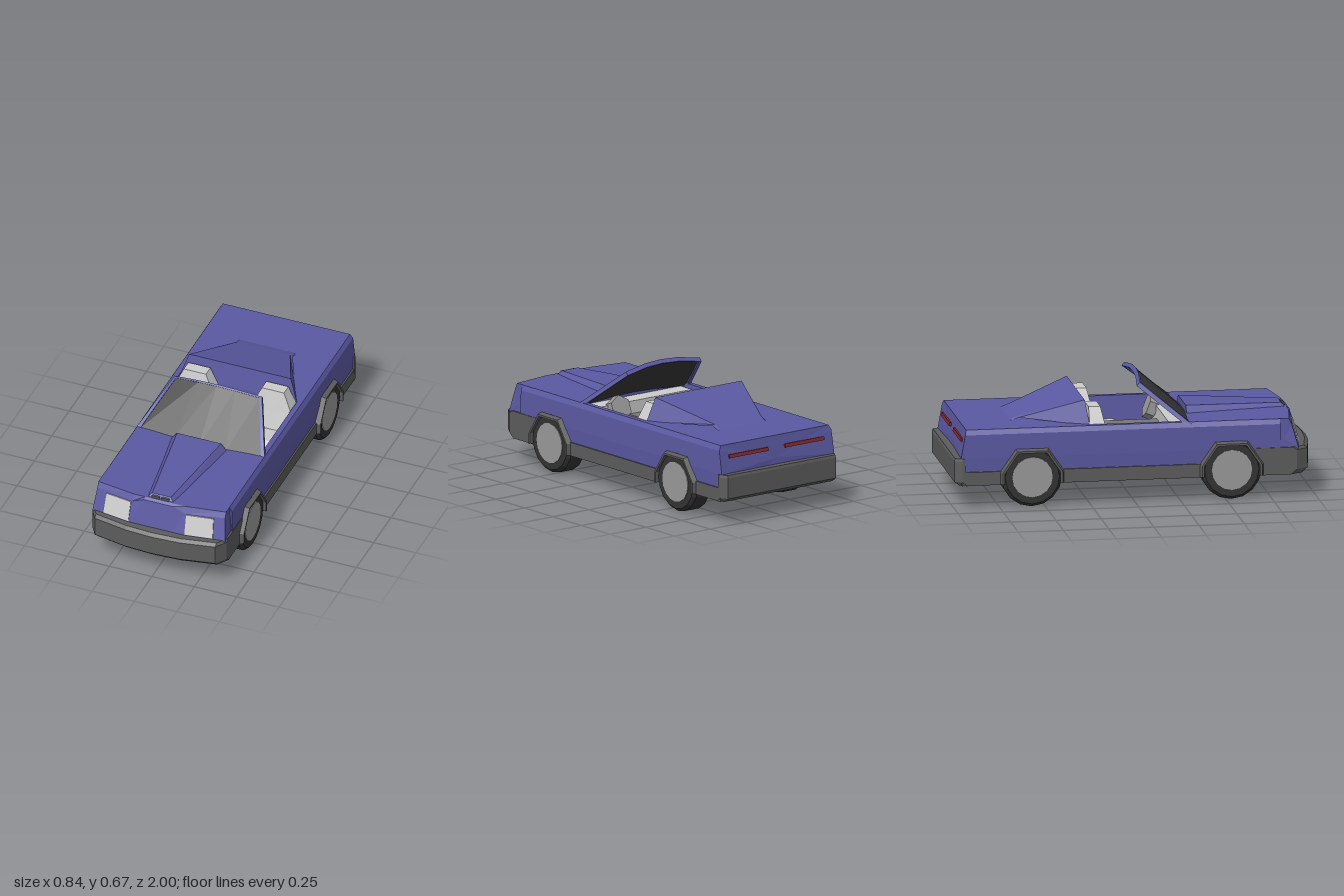
import * as THREE from 'three';

const material = (color) => new THREE.MeshStandardMaterial({ color, flatShading: true });
const BLUE = material(0x5b59a2), TRIM = material(0x5c5c5c), RUBBER = material(0x333333);
const GLASS = material(0x363636), LIGHT = material(0xcccccc), HUB = material(0x999999);
const CONSOLE = material(0x777777), RED = material(0x8c2a2a);

// Solid skinned over a row of rings with equal point counts, capped at both ends
function loft(rings) {
  const n = rings[0].length, tris = [];
  const centre = (r) => [0, 1, 2].map((k) => r.reduce((s, p) => s + p[k], 0) / n);
  for (let i = 0; i < rings.length - 1; i++) {
    const a = rings[i], b = rings[i + 1];
    for (let j = 0; j < n; j++) {
      const k = (j + 1) % n;
      tris.push([a[j], a[k], b[k]], [a[j], b[k], b[j]]);
    }
  }
  const first = rings[0], last = rings[rings.length - 1];
  const c0 = centre(first), c1 = centre(last);
  for (let j = 0; j < n; j++) {
    const k = (j + 1) % n;
    tris.push([c0, first[k], first[j]], [c1, last[j], last[k]]);
  }
  // Turn all faces outward
  let volume = 0;
  const v = [0, 1, 2].map(() => new THREE.Vector3());
  for (const t of tris) {
    t.forEach((p, i) => v[i].set(...p));
    volume += v[0].dot(v[1].cross(v[2]));
  }
  if (volume < 0) tris.forEach((t) => t.reverse());
  const geometry = new THREE.BufferGeometry();
  geometry.setAttribute('position', new THREE.Float32BufferAttribute(tris.flat(2), 3));
  geometry.computeVertexNormals();
  return geometry;
}

// Full ring from its +x half, listed bottom to top
const mirrorRing = (half) => [...half, ...half.slice().reverse().map(([x, y, z]) => [-x, y, z])];
const ringAt = (z, half) => mirrorRing(half.map(([x, y]) => [x, y, z]));
// Stations across the width, mirrored from the +x side
const acrossX = (stations, ring) =>
  [...stations.map(([x, ...r]) => [-x, ...r]), ...stations.slice().reverse()].map((s) => ring(...s));

export function createModel() {
  const model = new THREE.Group();
  const add = (name, geometry, mat, x = 0, y = 0, z = 0) => {
    const mesh = new THREE.Mesh(geometry, mat);
    mesh.name = name;
    mesh.position.set(x, y, z);
    model.add(mesh);
    return mesh;
  };
  const box = (name, w, h, d, mat, x, y, z) => add(name, new THREE.BoxGeometry(w, h, d), mat, x, y, z);

  // Body: engine bay, open cockpit tub, tail
  const side = [[0.385, 0.13], [0.392, 0.28], [0.39, 0.41], [0.375, 0.437]];
  add('engineBay', loft([ringAt(0.8, side), ringAt(0.3, side)]), BLUE);
  const tub = [...side, [0.345, 0.437], [0.325, 0.2]];
  add('cockpitTub', loft([ringAt(0.3, tub), ringAt(-0.25, tub)]), BLUE);
  const tailZ = [-0.965, -0.965, -0.942, -0.935];
  add('tail', loft([ringAt(-0.25, side), mirrorRing(side.map(([x, y], i) => [x, y, tailZ[i]]))]), BLUE);

  // Curved nose panel
  const noseStations = [[0.39, 0.9, 0.405], [0.16, 0.935, 0.4], [0.09, 0.935, 0.427]];
  add('nose', loft(acrossX(noseStations, (x, z, y) => {
    const top = x * 0.965;
    return [[x, 0.2, z], [x, 0.28, z], [top, y, z - 0.035], [top, 0.437, z - 0.05], [top, 0.437, 0.7], [x, 0.2, 0.7]];
  })), BLUE);

  // Hood bulge with two small vents
  add('hoodBulge', loft([
    mirrorRing([[0.085, 0.425, 0.885], [0.055, 0.455, 0.86]]),
    mirrorRing([[0.17, 0.425, 0.32], [0.13, 0.475, 0.32]]),
  ]), BLUE);
  for (const s of [-1, 1]) box('hoodVent', 0.045, 0.018, 0.012, TRIM, s * 0.028, 0.441, 0.873);

  // Folded roof cover
  add('roofCover', loft([
    mirrorRing([[0.345, 0.43, -0.245], [0.3, 0.565, -0.267]]),
    mirrorRing([[0.17, 0.45, -0.61], [0.155, 0.457, -0.61]]),
    mirrorRing([[0.17, 0.43, -0.66], [0.16, 0.437, -0.66]]),
  ]), BLUE);

  // Headlights lying on the nose panel
  const noseZ = (x, y) => 0.935 - 0.035 * (x - 0.16) / 0.23 - 0.035 * (y - 0.28) / 0.122;
  for (const s of [-1, 1]) {
    const corners = [[0.165, 0.284], [0.322, 0.284], [0.315, 0.395], [0.163, 0.395]];
    const face = (dz) => corners.map(([x, y]) => [s * x, y, noseZ(x, y) + dz]);
    add('headlight', loft([face(-0.02), face(0.004)]), LIGHT);
    box('taillight', 0.27, 0.02, 0.012, RED, s * 0.195, 0.372, -0.95).rotation.x = 0.17;
  }

  // Bumpers and side skirts
  const frontStations = [[0.396, 0.89], [0.355, 0.955], [0.16, 0.992], [0.02, 1]];
  add('frontBumper', loft(acrossX(frontStations, (x, z) => [
    [x, 0.28, z - 0.02], [x, 0.265, z], [x, 0.155, z], [x, 0.128, z - 0.03], [x, 0.128, 0.66], [x, 0.28, 0.66],
  ])), TRIM);
  add('rearBumper', loft(acrossX([[0.398, -0.96], [0.375, -1]], (x, z) => [
    [x, 0.28, z + 0.005], [x, 0.265, z], [x, 0.15, z], [x, 0.128, z + 0.03], [x, 0.128, -0.94], [x, 0.28, -0.94],
  ])), TRIM);
  for (const s of [-1, 1]) {
    box('sideSkirt', 0.02, 0.075, 0.76, TRIM, s * 0.387, 0.1665, -0.02);
    box('rearSkirt', 0.02, 0.075, 0.26, TRIM, s * 0.387, 0.1665, -0.83);
  }

  // Wheels and angular arch flares
  const tyre = new THREE.LatheGeometry([[0, -0.065], [0.15, -0.065], [0.167, -0.045],
    [0.167, 0.045], [0.15, 0.065], [0, 0.065]].map((p) => new THREE.Vector2(...p)), 16).rotateZ(Math.PI / 2);
  const hub = new THREE.CylinderGeometry(0.112, 0.112, 0.02, 16).rotateZ(Math.PI / 2);
  const innerHub = new THREE.CylinderGeometry(0.112, 0.08, 0.05, 16).rotateZ(-Math.PI / 2);
  const archPath = [[-0.177, -0.037], [-0.177, 0.03], [-0.09, 0.157], [0.09, 0.157], [0.177, 0.03], [0.177, -0.037]];
  for (const z of [0.53, -0.573]) {
    for (const s of [-1, 1]) {
      add('tyre', tyre, RUBBER, s * 0.337, 0.167, z);
      add('hub', hub, HUB, s * 0.396, 0.167, z);
      add('wheelArch', loft(archPath.map(([dz, dy]) =>
        [[0.37, 1], [0.39, 1], [0.418, 0.94], [0.418, 0.87], [0.37, 0.85]].map(([x, k]) =>
          [s * x, 0.167 + dy * k, z + dz * k]))), TRIM);
    }
    add('innerHub', innerHub, HUB, -0.252, 0.167, z);
  }

  // Windshield: u runs across, v up the slope, t back through the thickness
  const pane = (u, v, t) => [
    THREE.MathUtils.lerp(0.382 * u, 0.257 * u, v),
    THREE.MathUtils.lerp(0.427, 0.667 - 0.026 * u * u, v) - 0.75 * t,
    THREE.MathUtils.lerp(0.335 - 0.025 * u * u, 0.065 - 0.02 * u * u, v) - 0.66 * t,
  ];
  const slab = (us, v0, v1, t0, t1) =>
    loft(us.map((u) => [pane(u, v0, t0), pane(u, v1, t0), pane(u, v1, t1), pane(u, v0, t1)]));
  const span = [-1, -0.43, 0, 0.43, 1];
  add('windshieldBottomRail', slab(span, 0, 0.03, 0, 0.025), BLUE);
  add('windshieldTopRail', slab(span, 0.97, 1, 0, 0.025), BLUE);
  for (const s of [-1, 1]) add('windshieldPillar', slab([s * 0.94, s], 0, 1, 0, 0.025), BLUE);
  add('windshieldGlass', slab(span.map((u) => u * 0.95), 0.02, 0.98, 0.004, 0.016), GLASS);

  // Interior
  box('centreConsole', 0.23, 0.16, 0.5, CONSOLE, 0, 0.27, 0.0);
  box('dashboard', 0.65, 0.11, 0.1, LIGHT, 0, 0.365, 0.25);
  const backOutline = [[0.11, 0.25], [0.11, 0.43], [0.065, 0.525]];
  for (const s of [-1, 1]) {
    const seatBack = loft([
      ringAt(-0.245, backOutline),
      mirrorRing(backOutline.map(([x, y], i) => [x, y, [-0.11, -0.16, -0.18][i]])),
    ]);
    add('seatBack', seatBack, LIGHT, s * 0.23);
    const cushion = loft([[-0.2, 0.3], [-0.01, 0.31], [0.08, 0.26]].map(([z, y]) =>
      ringAt(z, [[0.105, 0.2], [0.105, y]])));
    add('seatCushion', cushion, LIGHT, s * 0.23);
  }
  const wheel = add('steeringWheel', new THREE.CylinderGeometry(0.07, 0.07, 0.05, 6), HUB, 0.2, 0.4, 0.18);
  wheel.rotation.x = -1.2;
  return model;
}
